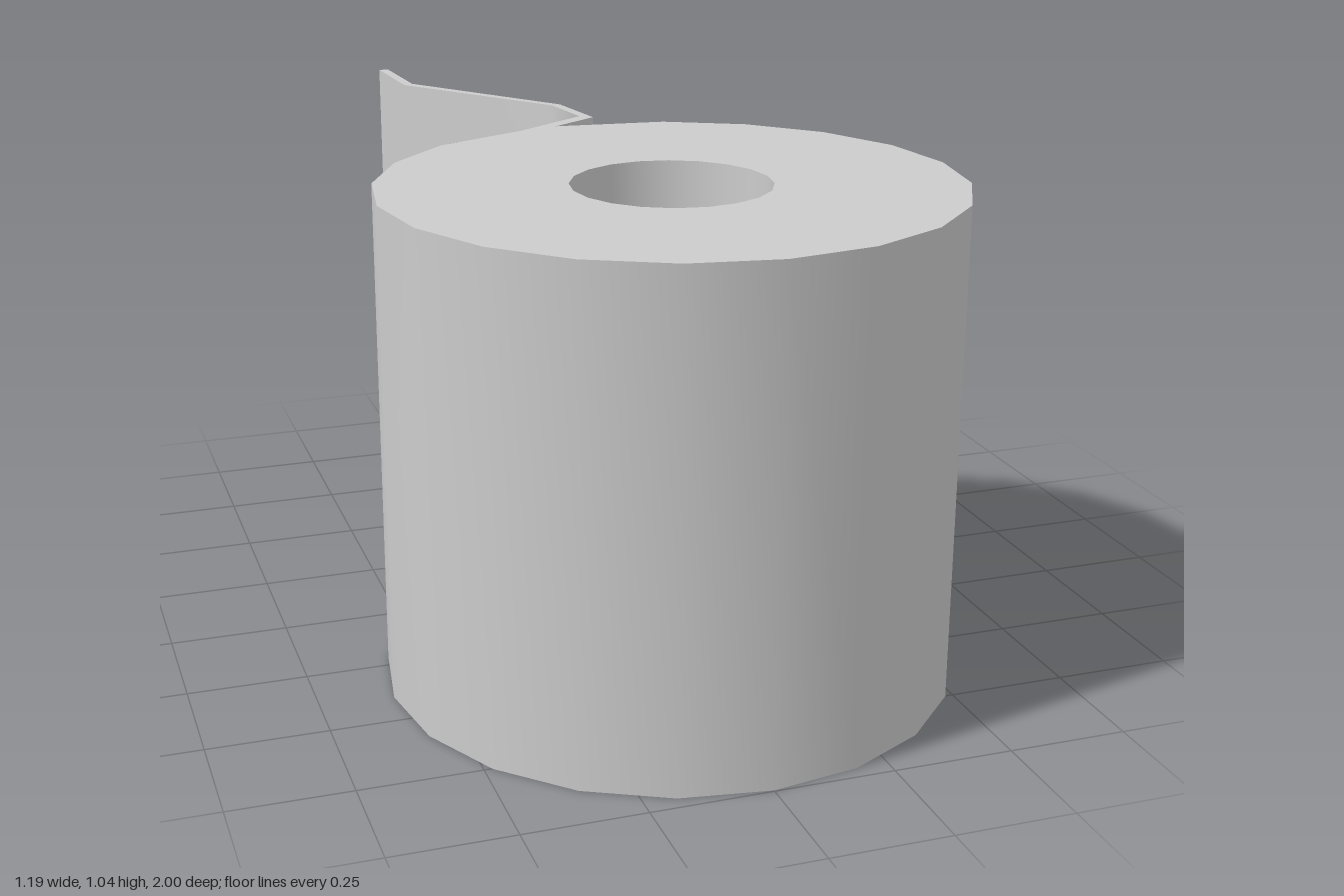
import * as THREE from 'three';
import { toCreasedNormals } from 'three/addons/utils/BufferGeometryUtils.js';

const HEIGHT = 1.04;
const CENTRE_Z = 0.4;
const SIDES = 20;

// Points on a circle around the roll's axis, as [x, z]
function ring(radius) {
  return Array.from({ length: SIDES }, (_, i) => {
    const a = (i / SIDES) * Math.PI * 2;
    return [radius * Math.cos(a), CENTRE_Z - radius * Math.sin(a)];
  });
}

const toPlan = (points) => points.map(([x, z]) => new THREE.Vector2(x, -z));

// Raise a plan outline (x, z) to the full height
function prism(name, outline, hole, crease) {
  const shape = new THREE.Shape(toPlan(outline));
  if (hole) shape.holes.push(new THREE.Path(toPlan(hole)));
  const geometry = new THREE.ExtrudeGeometry(shape, { depth: HEIGHT, bevelEnabled: false });
  geometry.rotateX(-Math.PI / 2);
  const mesh = new THREE.Mesh(
    toCreasedNormals(geometry, crease),
    new THREE.MeshStandardMaterial({ color: 0xcccccc })
  );
  mesh.name = name;
  return mesh;
}

export function createModel() {
  const group = new THREE.Group();
  group.name = 'paperRoll';

  // Wound paper with a hollow core; the back is cut where the loose sheet leaves
  const outer = ring(0.597);
  outer.splice(5, 2, [-0.06, -0.195]);
  group.add(prism('roll', outer, ring(0.205), 0.6));

  // Loose sheet: peels off the back and hangs away in soft folds
  const sheet = [
    [-0.06, -0.195], [0.05, -0.265], [0.022, -0.43], [-0.248, -0.79], [-0.262, -1],
    [-0.284, -1], [-0.27, -0.78], [0, -0.425], [0.024, -0.285], [-0.15, -0.172],
    [-0.351, -0.083],
  ];
  group.add(prism('looseSheet', sheet, null, 1.4));

  return group;
}
